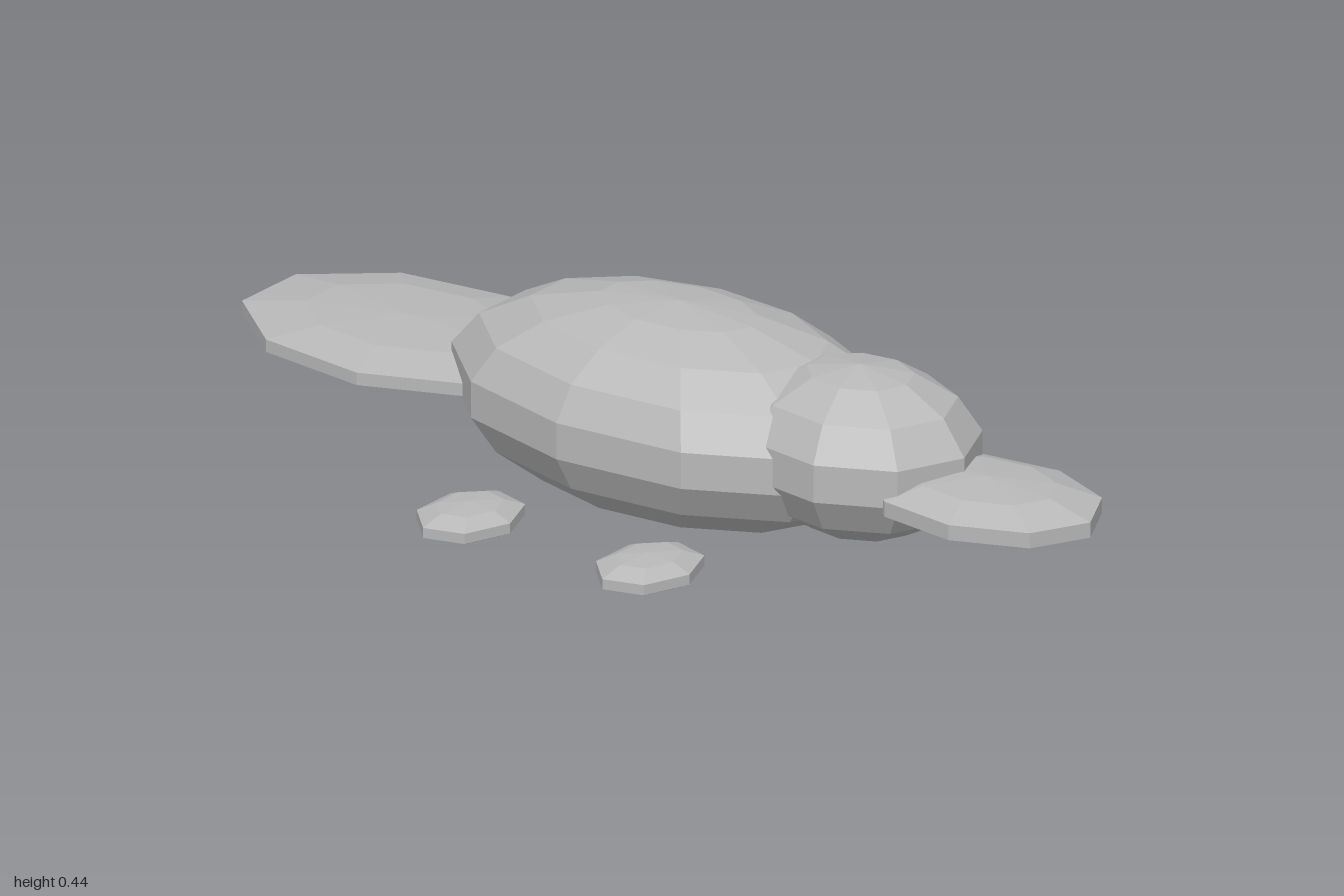
import * as THREE from 'three';

const grey = new THREE.MeshStandardMaterial({ color: 0xb8b8b8 });
grey.name = 'light grey';

// Faceted ellipsoid with one meridian facing +z
function blob(name, sides, rows, [rx, ry, rz], [x, y, z]) {
  const geometry = new THREE.SphereGeometry(1, sides, rows, Math.PI / 2)
    .scale(rx, ry, rz)
    .toNonIndexed();
  geometry.computeVertexNormals(); // one normal per face
  const mesh = new THREE.Mesh(geometry, grey);
  mesh.name = name;
  mesh.position.set(x, y, z);
  return mesh;
}

export function createModel() {
  const model = new THREE.Group();
  model.name = 'platypus';

  // Body, head, flat bill and paddle tail
  model.add(
    blob('body', 11, 9, [0.305, 0.217, 0.518], [0, 0.229, 0]),
    blob('head', 9, 7, [0.216, 0.174, 0.26], [0, 0.247, 0.44]),
    blob('bill', 9, 5, [0.189, 0.051, 0.268], [0, 0.211, 0.745]),
    blob('tail', 9, 5, [0.263, 0.042, 0.379], [0, 0.214, -0.66])
  );

  // Four flat feet beside the body
  for (const [end, z] of [['front', 0.178], ['back', -0.258]]) {
    for (const [side, sign] of [['Left', 1], ['Right', -1]]) {
      model.add(blob(end + side + 'Foot', 7, 5, [0.13, 0.034, 0.103], [sign * 0.33, 0.036, z]));
    }
  }
  return model;
}
